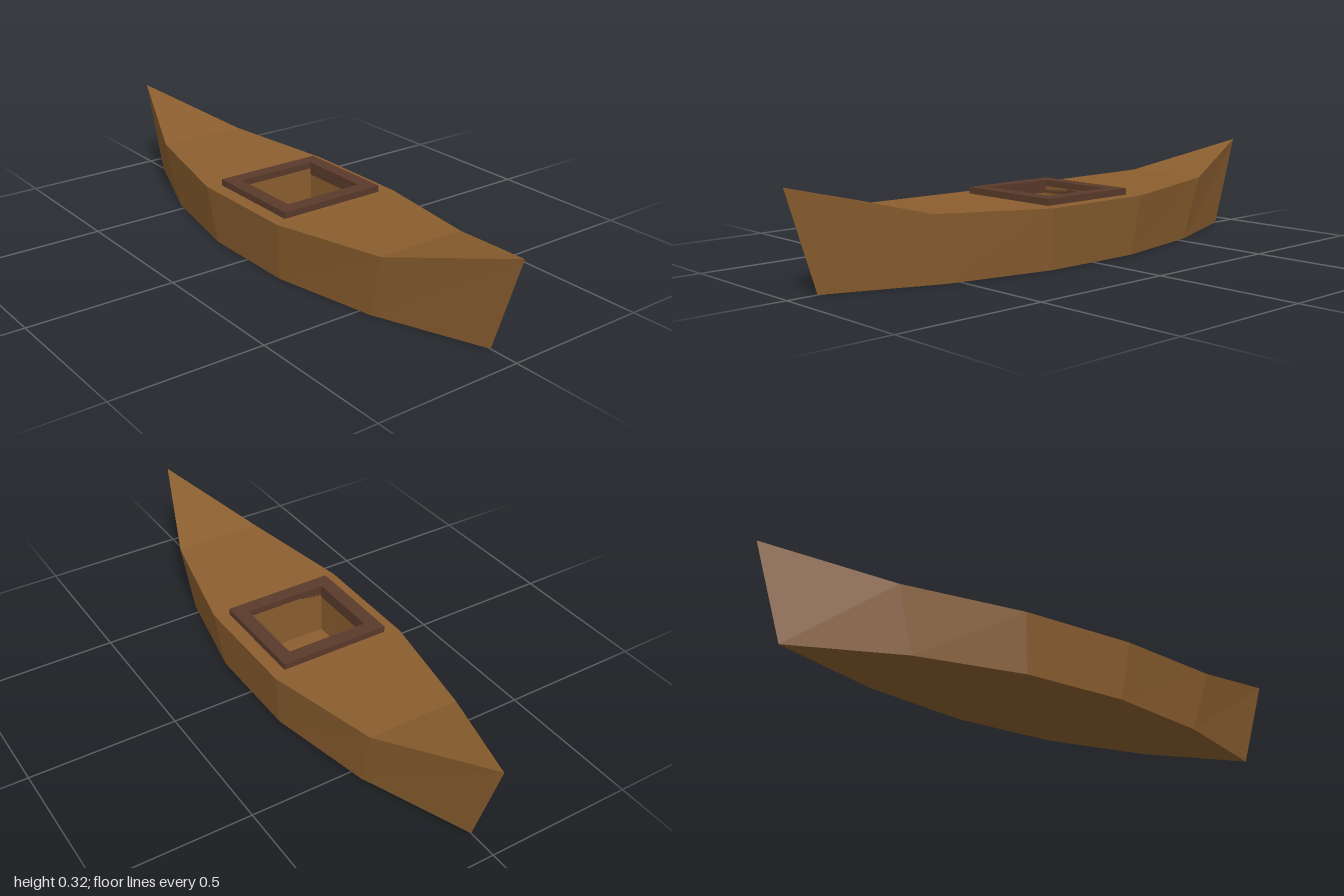
import * as THREE from 'three';

const hullWood = new THREE.MeshStandardMaterial({ color: 0x8b5e2f });
hullWood.name = 'hull wood';
const darkWood = new THREE.MeshStandardMaterial({ color: 0x5a3a2a });
darkWood.name = 'dark wood';

// Flat-shaded mesh from polygons whose corners run counter-clockwise.
function facetMesh(name, polygons, material) {
  const points = [];
  for (const p of polygons) {
    for (let i = 1; i < p.length - 1; i++) points.push(...p[0], ...p[i], ...p[i + 1]);
  }
  const geometry = new THREE.BufferGeometry();
  geometry.setAttribute('position', new THREE.Float32BufferAttribute(points, 3));
  geometry.computeVertexNormals();
  const mesh = new THREE.Mesh(geometry, material);
  mesh.name = name;
  return mesh;
}

// Rectangle corners, clockwise seen from above, starting at +x +z.
const rectangle = (x, z, y) => [[x, y, z], [-x, y, z], [-x, y, -z], [x, y, -z]];

export function createModel() {
  const model = new THREE.Group();
  model.name = 'canoe';

  // Gunwale stations from bow to stern: x, y, half width
  const half = [[1, 0.317, 0], [0.6, 0.217, 0.157], [0.2, 0.2, 0.238]];
  const stations = [...half, ...half.map(([x, y, z]) => [-x, y, z]).reverse()];
  const ring = [...stations, ...stations.slice(1, -1).reverse().map(([x, y, z]) => [x, y, -z])];
  const keel = ring.map(([x, , z]) => [x * 0.9, 0, z * 0.9]);

  // Sides and flat bottom
  const sides = ring.map((top, i) => {
    const n = (i + 1) % ring.length;
    return [keel[n], keel[i], top, ring[n]];
  });
  model.add(facetMesh('hull', [...sides, keel], hullWood));

  // Deck strips between stations, with an opening amidships
  const deck = [];
  const mirror = ([x, y, z]) => [x, y, -z];
  for (const i of [0, 1, 3, 4]) {
    const a = stations[i], b = stations[i + 1];
    deck.push([a, mirror(a), mirror(b), b]);
  }
  const outer = rectangle(0.2, 0.238, 0.2);
  const opening = rectangle(0.13, 0.145, 0.2);
  const floor = rectangle(0.13, 0.145, 0.04);
  const well = [[...floor].reverse()];
  for (let i = 0; i < 4; i++) {
    const n = (i + 1) % 4;
    deck.push([outer[n], outer[i], opening[i], opening[n]]);
    well.push([opening[n], opening[i], floor[i], floor[n]]);
  }
  model.add(facetMesh('deck', deck, hullWood));
  model.add(facetMesh('cockpitWell', well, hullWood));

  // Raised rim around the cockpit
  const toShape = (x, z) => rectangle(x, z, 0).map(([px, , pz]) => new THREE.Vector2(px, pz));
  const frame = new THREE.Shape(toShape(0.178, 0.191));
  frame.holes.push(new THREE.Path(toShape(0.13, 0.143)));
  const rimGeometry = new THREE.ExtrudeGeometry(frame, { depth: 0.044, bevelEnabled: false });
  rimGeometry.rotateX(-Math.PI / 2);
  const rim = new THREE.Mesh(rimGeometry, darkWood);
  rim.name = 'cockpitRim';
  rim.position.y = 0.178;
  model.add(rim);

  return model;
}
